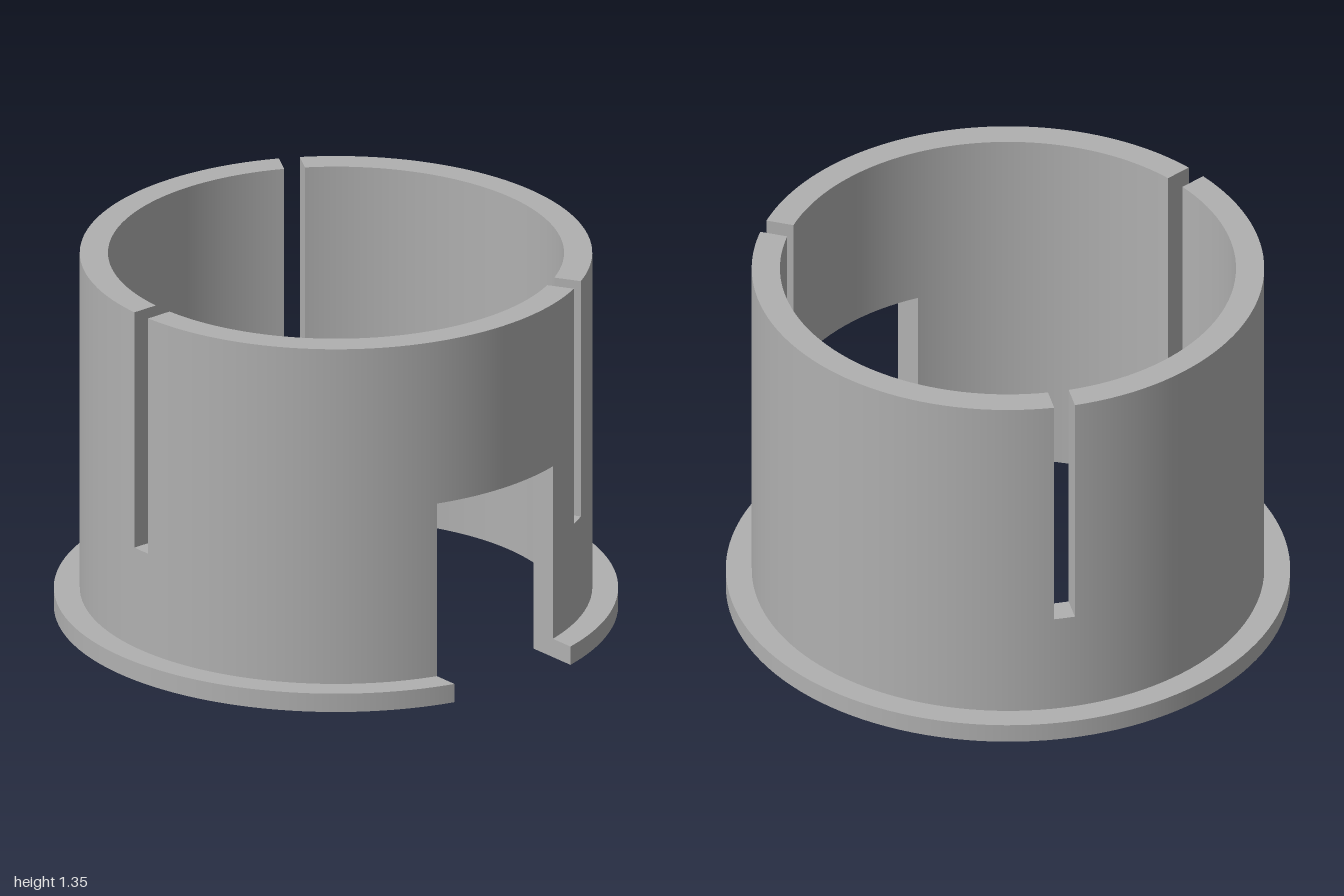
import * as THREE from 'three';

const RADII = [0.808, 0.908, 1.0];             // bore, tube wall, flange rim
const LEVELS = [0, 0.07, 0.45, 0.73, 1.35];    // flange top, slot floor, window top, rim
const CUTS = [                                  // parallel-sided cuts around the ring
  { kind: 'window', angle: 0, half: 0.27, steps: 14 },
  { kind: 'slot', angle: Math.PI / 2, half: 0.0375, steps: 2 },
  { kind: 'slot', angle: Math.PI * 7 / 6, half: 0.0375, steps: 2 },
  { kind: 'slot', angle: Math.PI * 11 / 6, half: 0.0375, steps: 2 },
];

// Columns around the ring; each edge is an angle that depends on the radius,
// so the sides of the cuts stay parallel.
function makeColumns() {
  const columns = [];
  const add = (kind, from, to, steps) => {
    for (let s = 0; s < steps; s++) {
      const edge = (t) => (r) => from(r) + (to(r) - from(r)) * t;
      columns.push({ kind, start: edge(s / steps), end: edge((s + 1) / steps) });
    }
  };
  CUTS.forEach((cut, i) => {
    const next = CUTS[(i + 1) % CUTS.length];
    const nextAngle = next.angle + (i === CUTS.length - 1 ? Math.PI * 2 : 0);
    const low = (r) => cut.angle - Math.asin(cut.half / r);
    const high = (r) => cut.angle + Math.asin(cut.half / r);
    const nextLow = (r) => nextAngle - Math.asin(next.half / r);
    add(cut.kind, low, high, cut.steps);
    add('wall', high, nextLow, Math.ceil((nextAngle - cut.angle) / 0.05));
  });
  return columns;
}

function sleeveGeometry() {
  const columns = makeColumns();
  const n = columns.length;
  const positions = [], normals = [];

  // Which cells of the ring hold material
  const solid = (c, row, layer) => {
    if (row < 0 || row > 3 || layer < 0 || layer > 1) return false;
    if (layer === 1 && row > 0) return false;
    const kind = columns[(c + n) % n].kind;
    if (kind === 'window') return row === 3;
    if (kind === 'slot') return row < 2;
    return true;
  };
  const point = (edge, r, y) =>
    new THREE.Vector3(r * Math.cos(edge(r)), y, r * Math.sin(edge(r)));

  // Quad facing the hint direction; curved faces take radial normals
  const quad = (p, hint, curved) => {
    const flat = p[1].clone().sub(p[0]).cross(p[2].clone().sub(p[0])).normalize();
    const flip = flat.dot(hint) < 0;
    if (flip) flat.negate();
    for (const i of flip ? [0, 2, 1, 0, 3, 2] : [0, 1, 2, 0, 2, 3]) {
      const q = p[i];
      const normal = curved
        ? new THREE.Vector3(q.x, 0, q.z).normalize().multiplyScalar(curved) : flat;
      positions.push(q.x, q.y, q.z);
      normals.push(normal.x, normal.y, normal.z);
    }
  };

  columns.forEach(({ start, end }, c) => {
    for (let row = 0; row < 4; row++) {
      for (let layer = 0; layer < 2; layer++) {
        if (!solid(c, row, layer)) continue;
        const [y0, y1] = [LEVELS[row], LEVELS[row + 1]];
        const [r0, r1] = [RADII[layer], RADII[layer + 1]];
        const mid = (start(r0) + end(r0)) / 2;
        const out = new THREE.Vector3(Math.cos(mid), 0, Math.sin(mid));
        const along = new THREE.Vector3(-Math.sin(mid), 0, Math.cos(mid));
        const up = new THREE.Vector3(0, 1, 0);
        const curvedFace = (r, sign) => quad([point(start, r, y0), point(end, r, y0),
          point(end, r, y1), point(start, r, y1)], out.clone().multiplyScalar(sign), sign);
        const levelFace = (y, sign) => quad([point(start, r0, y), point(end, r0, y),
          point(end, r1, y), point(start, r1, y)], up.clone().multiplyScalar(sign), 0);
        const sideFace = (edge, sign) => quad([point(edge, r0, y0), point(edge, r1, y0),
          point(edge, r1, y1), point(edge, r0, y1)], along.clone().multiplyScalar(sign), 0);

        if (!solid(c, row, layer - 1)) curvedFace(r0, -1);
        if (!solid(c, row, layer + 1)) curvedFace(r1, 1);
        if (!solid(c, row - 1, layer)) levelFace(y0, -1);
        if (!solid(c, row + 1, layer)) levelFace(y1, 1);
        if (!solid(c - 1, row, layer)) sideFace(start, -1);
        if (!solid(c + 1, row, layer)) sideFace(end, 1);
      }
    }
  });

  const geometry = new THREE.BufferGeometry();
  geometry.setAttribute('position', new THREE.Float32BufferAttribute(positions, 3));
  geometry.setAttribute('normal', new THREE.Float32BufferAttribute(normals, 3));
  return geometry;
}

export function createModel() {
  const group = new THREE.Group();
  group.name = 'slottedSleeve';
  const grey = new THREE.MeshStandardMaterial({ color: 0xb0b0b0 });
  grey.name = 'grey';

  // Flanged sleeve with three slots and a side window
  const sleeve = new THREE.Mesh(sleeveGeometry(), grey);
  sleeve.name = 'flangedSleeve';
  sleeve.position.x = 0.018;
  group.add(sleeve);
  return group;
}
